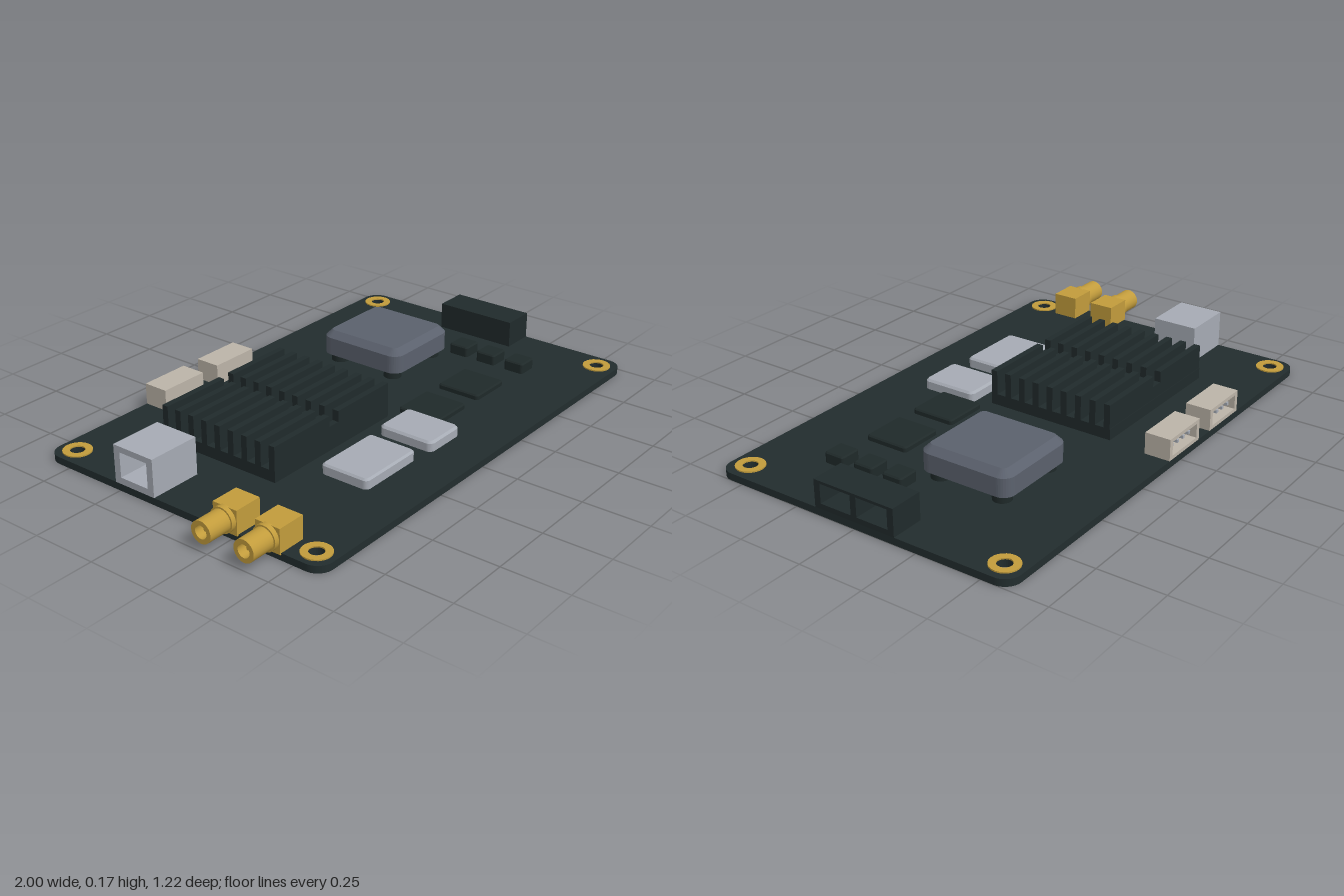
import * as THREE from 'three';

const mat = (name, color) => Object.assign(new THREE.MeshStandardMaterial({ color }), { name });
const TOP = 0.027; // upper surface of the board

// Rounded rectangle centred on the origin
function roundRect(w, h, r) {
  const s = new THREE.Shape(), x = w / 2, y = h / 2, q = Math.PI / 2;
  s.absarc(x - r, y - r, r, 0, q);
  s.absarc(-x + r, y - r, r, q, 2 * q);
  s.absarc(-x + r, -y + r, r, 2 * q, 3 * q);
  s.absarc(x - r, -y + r, r, 3 * q, 4 * q);
  s.closePath();
  return s;
}

// Rounded block standing at y0, with a bevelled upper edge and a flat base
function block(x0, x1, z0, z1, y0, y1, r, bevel) {
  const shape = roundRect(x1 - x0 - 2 * bevel, z1 - z0 - 2 * bevel, r);
  const g = new THREE.ExtrudeGeometry(shape, {
    depth: y1 - y0 - bevel, curveSegments: 4, bevelEnabled: true,
    bevelSize: bevel, bevelThickness: bevel, bevelSegments: 1,
  });
  g.rotateX(-Math.PI / 2);
  const p = g.attributes.position;
  for (let i = 0; i < p.count; i++) p.setY(i, Math.max(0, p.getY(i)));
  g.computeVertexNormals();
  return g.translate((x0 + x1) / 2, y0, (z0 + z1) / 2);
}

function box(x0, x1, y0, y1, z0, z1) {
  return new THREE.BoxGeometry(x1 - x0, y1 - y0, z1 - z0)
    .translate((x0 + x1) / 2, (y0 + y1) / 2, (z0 + z1) / 2);
}

// Housing with rectangular openings [x, y, w, h] in its +z face; base at y = 0
function socket(name, w, h, d, wall, openings, material) {
  const group = new THREE.Group();
  group.name = name;
  const s = new THREE.Shape([[-w / 2, 0], [w / 2, 0], [w / 2, h], [-w / 2, h]].map(p => new THREE.Vector2(...p)));
  for (const [x, y, ow, oh] of openings) {
    s.holes.push(new THREE.Path([[x - ow / 2, y], [x - ow / 2, y + oh], [x + ow / 2, y + oh], [x + ow / 2, y]]
      .map(p => new THREE.Vector2(...p))));
  }
  const shell = new THREE.Mesh(new THREE.ExtrudeGeometry(s, { depth: d - wall, bevelEnabled: false })
    .translate(0, 0, wall - d / 2), material);
  shell.name = name + 'Shell';
  const back = new THREE.Mesh(box(-w / 2, w / 2, 0, h, -d / 2, wall - d / 2), material);
  back.name = name + 'Back';
  group.add(shell, back);
  return group;
}

export function createModel() {
  const model = new THREE.Group();
  model.name = 'circuitBoard';
  const boardMat = mat('boardGreen', 0x222d2e);
  const blackMat = mat('heatsinkBlack', 0x202a2b);
  const chipMat = mat('chipBlack', 0x1f2929);
  const goldMat = mat('gold', 0xc29c3c);
  const silverMat = mat('silver', 0xa6abb4);
  const slateMat = mat('slate', 0x5b616d);
  const beigeMat = mat('beige', 0xbcb4a8);
  const add = (name, geometry, material, parent = model) => {
    const m = new THREE.Mesh(geometry, material);
    m.name = name;
    parent.add(m);
    return m;
  };

  // Board with four through holes, each with a gold ring
  const outline = roundRect(1.885, 1.22, 0.06);
  const rings = [];
  for (const x of [-0.87, 0.865]) for (const y of [-0.535, 0.535]) {
    const hole = new THREE.Path();
    hole.absarc(x, y, 0.027, 0, Math.PI * 2, true);
    outline.holes.push(hole);
    rings.push([x + 0.0575, -y]);
  }
  add('board', new THREE.ExtrudeGeometry(outline, { depth: TOP, bevelEnabled: false, curveSegments: 12 })
    .rotateX(-Math.PI / 2).translate(0.0575, 0, 0), boardMat);
  for (const [x, z] of rings) {
    const s = new THREE.Shape();
    s.absarc(0, 0, 0.053, 0, Math.PI * 2);
    const hole = new THREE.Path();
    hole.absarc(0, 0, 0.027, 0, Math.PI * 2, true);
    s.holes.push(hole);
    add('mountingRing', new THREE.ExtrudeGeometry(s, { depth: 0.005, bevelEnabled: false, curveSegments: 12 })
      .rotateX(-Math.PI / 2).translate(x, TOP, z), goldMat);
  }

  // Heatsink: base and nine fins with a shallow cross channel
  const heatsink = new THREE.Group();
  heatsink.name = 'heatsink';
  model.add(heatsink);
  add('heatsinkBase', box(-0.565, 0.065, TOP, 0.07, -0.36, 0.155), blackMat, heatsink);
  const fin = new THREE.Shape([[-0.565, 0.07], [0.065, 0.07], [0.065, 0.162], [-0.225, 0.162],
    [-0.225, 0.12], [-0.275, 0.12], [-0.275, 0.162], [-0.565, 0.162]].map(p => new THREE.Vector2(...p)));
  const finGeometry = new THREE.ExtrudeGeometry(fin, { depth: 0.025, bevelEnabled: false });
  for (let i = 0; i < 9; i++) add('heatsinkFin', finGeometry, blackMat, heatsink).position.z = 0.13 - i * 0.061;

  // Large raised module on four feet
  add('raisedModule', block(0.31, 0.66, -0.35, 0.015, 0.06, 0.155, 0.02, 0.025), slateMat);
  for (const x of [0.36, 0.61]) for (const z of [-0.295, -0.04]) {
    add('moduleFoot', new THREE.CylinderGeometry(0.035, 0.035, 0.035, 16).translate(x, 0.0435, z), chipMat);
  }

  // Metal shields, flat chips and small components
  add('shieldWide', block(-0.417, -0.14, 0.23, 0.427, TOP, 0.066, 0.012, 0.007), silverMat);
  add('shieldNarrow', block(-0.07, 0.107, 0.215, 0.442, TOP, 0.066, 0.015, 0.008), silverMat);
  for (const x of [0.12, 0.375]) add('flatChip', block(x, x + 0.177, 0.163, 0.34, TOP, 0.047, 0.008, 0.005), chipMat);
  for (const z of [0.05, 0.176, 0.305]) {
    add('smallComponent', block(0.675, 0.759, z - 0.042, z + 0.042, TOP, 0.068, 0.006, 0.005), chipMat);
  }

  // Twin socket on the left edge
  const twin = socket('twinSocket', 0.33, 0.103, 0.13, 0.03,
    [[-0.076, 0.02, 0.128, 0.073], [0.076, 0.02, 0.128, 0.073]], blackMat);
  twin.rotation.y = Math.PI / 2;
  twin.position.set(0.935, TOP, 0);
  model.add(twin);

  // Metal jack on the right edge
  const jack = socket('metalJack', 0.178, 0.142, 0.205, 0.04, [[0, 0.025, 0.124, 0.095]], silverMat);
  jack.rotation.y = -Math.PI / 2;
  jack.position.set(-0.7825, TOP, -0.18);
  model.add(jack);

  // Pin headers on the back edge
  for (const x of [-0.3, -0.022]) {
    const header = socket('pinHeader', 0.2, 0.082, 0.1, 0.025, [[0, 0.014, 0.164, 0.054]], beigeMat);
    for (let i = 0; i < 4; i++) {
      const px = (i - 1.5) * 0.038;
      add('headerPin', box(px - 0.006, px + 0.006, 0.034, 0.046, -0.03, 0.035), silverMat, header);
    }
    header.rotation.y = Math.PI;
    header.position.set(x, TOP, -0.56);
    model.add(header);
  }

  // Gold coaxial connectors: block, collar, hollow barrel and centre pin
  for (const z of [0.228, 0.404]) {
    const coax = new THREE.Group();
    coax.name = 'coaxConnector';
    add('coaxBlock', box(-0.89, -0.78, 0.022, 0.115, -0.05, 0.05), goldMat, coax);
    const profile = [[0, -0.93], [0.024, -0.93], [0.024, -1], [0.041, -1], [0.041, -0.908], [0.047, -0.908], [0.047, -0.885]];
    const pts = profile.map(([r, x]) => new THREE.Vector2(r, x));
    // each profile segment is its own surface so the edges stay sharp
    for (let i = 0; i + 1 < pts.length; i++) {
      const g = new THREE.LatheGeometry([pts[i], pts[i + 1]], 24);
      add('coaxBarrel', g.rotateZ(-Math.PI / 2).translate(0, 0.071, 0), goldMat, coax);
    }
    add('coaxPin', new THREE.CylinderGeometry(0.007, 0.007, 0.05, 10).rotateZ(Math.PI / 2)
      .translate(-0.955, 0.071, 0), goldMat, coax);
    coax.position.z = z;
    model.add(coax);
  }
  return model;
}
